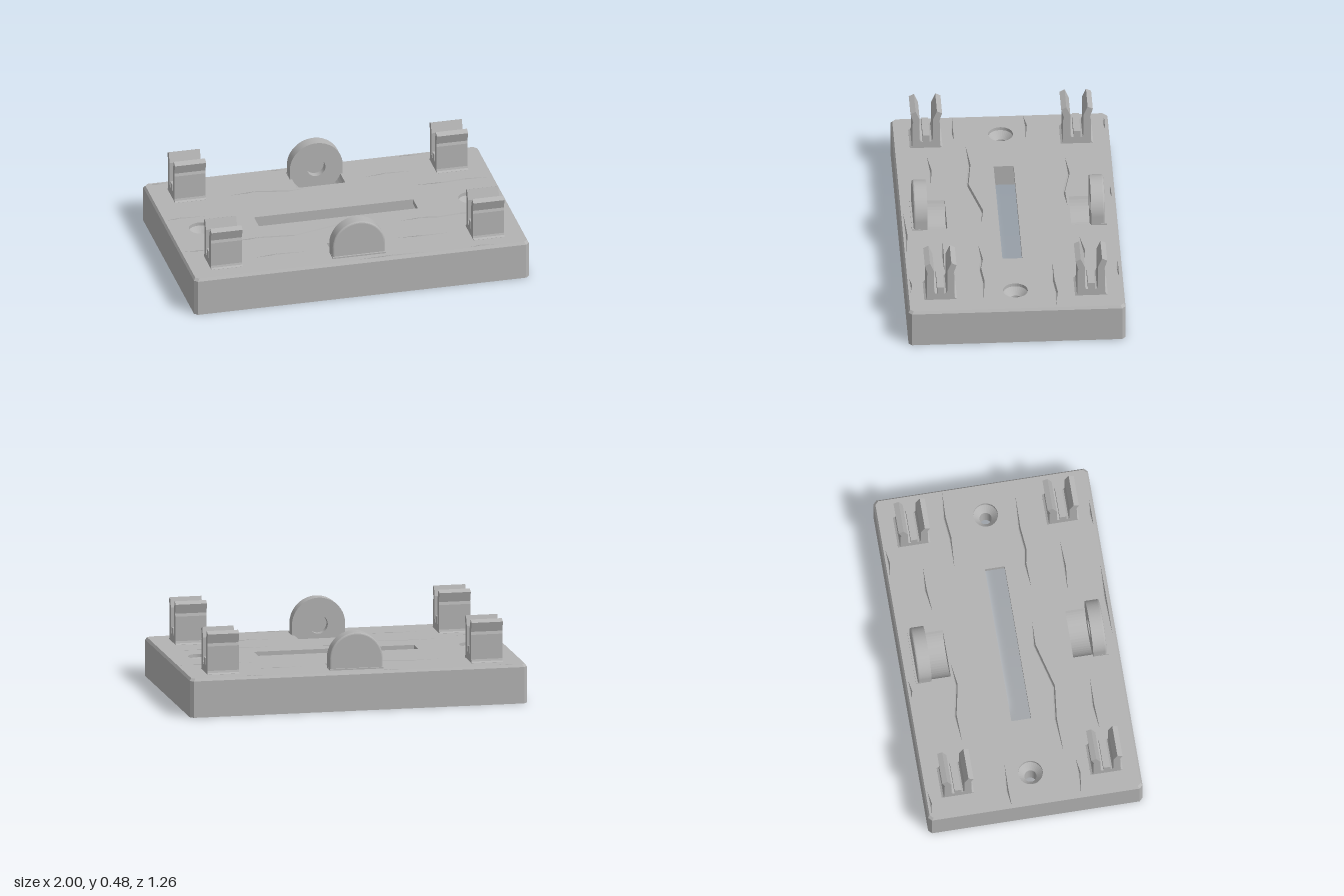
import * as THREE from 'three';

const TOP = 0.23;

// Collects flat-shaded triangles from horizontal faces and wall strips
function surfaceBuilder() {
  const pos = [];
  return {
    // horizontal face from [x, z] loops
    face(outer, holes, y, up) {
      const s = up ? -1 : 1;
      const pts = (loop) => loop.map(([x, z]) => new THREE.Vector2(x, s * z));
      const shape = new THREE.Shape(pts(outer));
      shape.holes = holes.map((h) => new THREE.Path(pts(h)));
      const g = new THREE.ShapeGeometry(shape).toNonIndexed();
      g.rotateX(s * Math.PI / 2).translate(0, y, 0);
      for (const v of g.attributes.position.array) pos.push(v);
    },
    // strip between two loops: upward faces inward, downward faces outward
    wall(a, ya, b, yb) {
      for (let i = 0; i < a.length; i++) {
        const j = (i + 1) % a.length;
        const p = [a[i][0], ya, a[i][1]], q = [a[j][0], ya, a[j][1]];
        const r = [b[j][0], yb, b[j][1]], s = [b[i][0], yb, b[i][1]];
        this.quad(p, q, r, s);
      }
    },
    quad(p, q, r, s) { pos.push(...p, ...q, ...r, ...p, ...r, ...s); },
    build() {
      const g = new THREE.BufferGeometry();
      g.setAttribute('position', new THREE.Float32BufferAttribute(pos, 3));
      g.computeVertexNormals();
      return g;
    },
  };
}

const rect = (x0, x1, z0, z1) => [[x0, z0], [x1, z0], [x1, z1], [x0, z1]];
const circle = (cx, r, n = 32) => Array.from({ length: n }, (_, i) => {
  const a = (i / n) * Math.PI * 2;
  return [cx + r * Math.cos(a), r * Math.sin(a)];
});
const octagon = (x, z, c) => [[-x + c, -z], [x - c, -z], [x, -z + c], [x, z - c],
  [x - c, z], [-x + c, z], [-x, z - c], [-x, -z + c]];

// Centre lines of the cracks in the top surface
const CRACKS = [
  [[-0.55, -0.36], [-0.385, -0.372], [-0.2, -0.335], [-0.06, -0.348]],
  [[0.27, -0.4], [0.41, -0.418], [0.55, -0.41]],
  [[0.52, -0.23], [0.7, -0.225], [0.83, -0.238], [0.985, -0.226]],
  [[-0.985, -0.14], [-0.89, -0.15], [-0.73, -0.14]],
  [[-0.7, 0.21], [-0.5, 0.198], [-0.3, 0.22], [-0.03, 0.15], [0.11, 0.16]],
  [[0.33, 0.19], [0.475, 0.178], [0.56, 0.193], [0.7, 0.18], [0.9, 0.19]],
  [[-0.985, 0.268], [-0.85, 0.28], [-0.765, 0.273]],
  [[-0.6, 0.44], [-0.45, 0.426], [-0.285, 0.435]],
  [[0.27, 0.395], [0.42, 0.402], [0.58, 0.4]],
  [[-0.96, -0.608], [-0.9, -0.602], [-0.83, -0.608]],
  [[-0.25, -0.608], [-0.2, -0.602], [-0.13, -0.608]],
  [[0.52, -0.608], [0.6, -0.602], [0.69, -0.608]],
  [[-0.03, 0.608], [0.2, 0.602], [0.4, 0.608]],
  [[0.65, 0.608], [0.72, 0.602], [0.8, 0.608]],
];

function baseGeometry() {
  const b = surfaceBuilder();
  const outer = octagon(1, 0.63, 0.02), rim = octagon(0.99, 0.62, 0.02);
  const slot = rect(-0.475, 0.475, -0.058, 0.058);
  const pocket = rect(-0.55, 0.55, -0.25, 0.25);
  const recess = rect(-0.95, 0.95, -0.31, 0.31);
  const topHoles = [slot], ledgeHoles = [pocket];

  // outside walls with a small bevel on the upper edge
  b.wall(rim, TOP, outer, 0.215);
  b.wall(outer, 0.215, outer, 0);

  // stepped underside, and the slot through it
  b.face(outer, [recess], 0, false);
  b.wall(recess, 0, recess, 0.05);
  b.wall(pocket, 0.05, pocket, 0.2);
  b.face(pocket, [slot], 0.2, false);
  b.wall(slot, 0.2, slot, TOP);

  // countersunk screw holes
  for (const x of [-0.805, 0.805]) {
    const small = circle(x, 0.035), large = circle(x, 0.072);
    b.wall(small, 0.05, small, 0.17);
    b.wall(small, 0.17, large, 0.21);
    b.wall(large, 0.21, large, TOP);
    topHoles.push(large);
    ledgeHoles.push(small);
  }
  b.face(recess, ledgeHoles, 0.05, false);

  // V-shaped cracks
  for (const line of CRACKS) {
    const n = line.length - 1;
    const mid = line.slice(1, n), back = [...mid].reverse();
    const shift = (pts, d) => pts.map(([x, z]) => [x, z + d]);
    const outline = [line[0], ...shift(mid, -0.007), line[n], ...shift(back, 0.007)];
    b.wall([line[0], ...mid, line[n], ...back], 0.212, outline, TOP);
    topHoles.push(outline);
  }

  // curved troughs in front of the round supports
  const R = 0.156, cy = 0.288, half = Math.acos((cy - TOP) / R), w = R * Math.sin(half);
  for (const s of [-1, 1]) {
    const z0 = Math.min(s * 0.36, s * 0.475), z1 = Math.max(s * 0.36, s * 0.475);
    topHoles.push(rect(-w, w, z0, z1));
    const at = (i) => {
      const a = -half + (2 * half * i) / 20;
      return [R * Math.sin(a), cy - R * Math.cos(a)];
    };
    for (let i = 0; i < 20; i++) {
      const [xa, ya] = at(i), [xb, yb] = at(i + 1);
      b.quad([xa, ya, z0], [xa, ya, z1], [xb, yb, z1], [xb, yb, z0]);
      // inner end of the trough
      const ze = s * 0.36;
      const end = [[xa, ya, ze], [xb, yb, ze], [xb, TOP, ze], [xa, TOP, ze]];
      b.quad(...(s > 0 ? end : end.reverse()));
    }
  }
  b.face(rim, topHoles, TOP, true);
  return b.build();
}

// Spring clip: mirrored jaw profile with a small centre post
function clipGeometry() {
  const right = [[0.095, 0.22], [0.095, 0.231], [0.084, 0.238], [0.08, 0.25], [0.08, 0.395],
    [0.075, 0.412], [0.092, 0.468], [0.062, 0.483], [0.038, 0.425], [0.038, 0.29],
    [0.032, 0.275], [0.02, 0.272], [0.02, 0.315]];
  const left = right.map(([x, y]) => [-x, y]).reverse();
  const shape = new THREE.Shape([...right, ...left].map(([x, y]) => new THREE.Vector2(x, y)));
  const g = new THREE.ExtrudeGeometry(shape, { depth: 0.186, bevelEnabled: false });
  return g.translate(0, 0, -0.093).rotateY(Math.PI / 2);
}

// Round-topped upright outline
function archShape(r) {
  const s = new THREE.Shape();
  s.moveTo(-r, 0.125);
  s.lineTo(r, 0.125);
  s.lineTo(r, 0.288);
  s.absarc(0, 0.288, r, 0, Math.PI, false);
  s.closePath();
  return s;
}

export function createModel() {
  const model = new THREE.Group();
  const grey = new THREE.MeshStandardMaterial({ color: 0xb3b3b3 });
  grey.name = 'plain grey';
  const add = (parent, name, geometry) => {
    const m = new THREE.Mesh(geometry, grey);
    m.name = name;
    parent.add(m);
    return m;
  };

  add(model, 'crackedBase', baseGeometry());

  // four clips
  const clip = clipGeometry();
  for (const x of [-0.7825, 0.7825]) {
    for (const z of [-0.4375, 0.4375]) add(model, 'springClip', clip).position.set(x, 0, z);
  }

  // two round supports, each with a blind axle hole on its inner face
  const ringShape = archShape(0.158);
  ringShape.holes.push(new THREE.Path().absarc(0, 0.288, 0.055, 0, Math.PI * 2, true));
  const ring = new THREE.ExtrudeGeometry(ringShape, { depth: 0.05, bevelEnabled: false, curveSegments: 40 });
  ring.translate(0, 0, 0.475);
  const cap = new THREE.ExtrudeGeometry(archShape(0.148), {
    depth: 0.02, bevelThickness: 0.01, bevelSize: 0.01, bevelSegments: 3, curveSegments: 40,
  });
  cap.translate(0, 0, 0.525);
  const foot = new THREE.BoxGeometry(0.318, 0.02, 0.05).translate(0, 0.228, 0.541);
  for (const turn of [0, Math.PI]) {
    const support = new THREE.Group();
    support.name = 'axleSupport';
    support.rotation.y = turn;
    add(support, 'axleRing', ring);
    add(support, 'outerCap', cap);
    add(support, 'supportFoot', foot);
    model.add(support);
  }
  return model;
}
